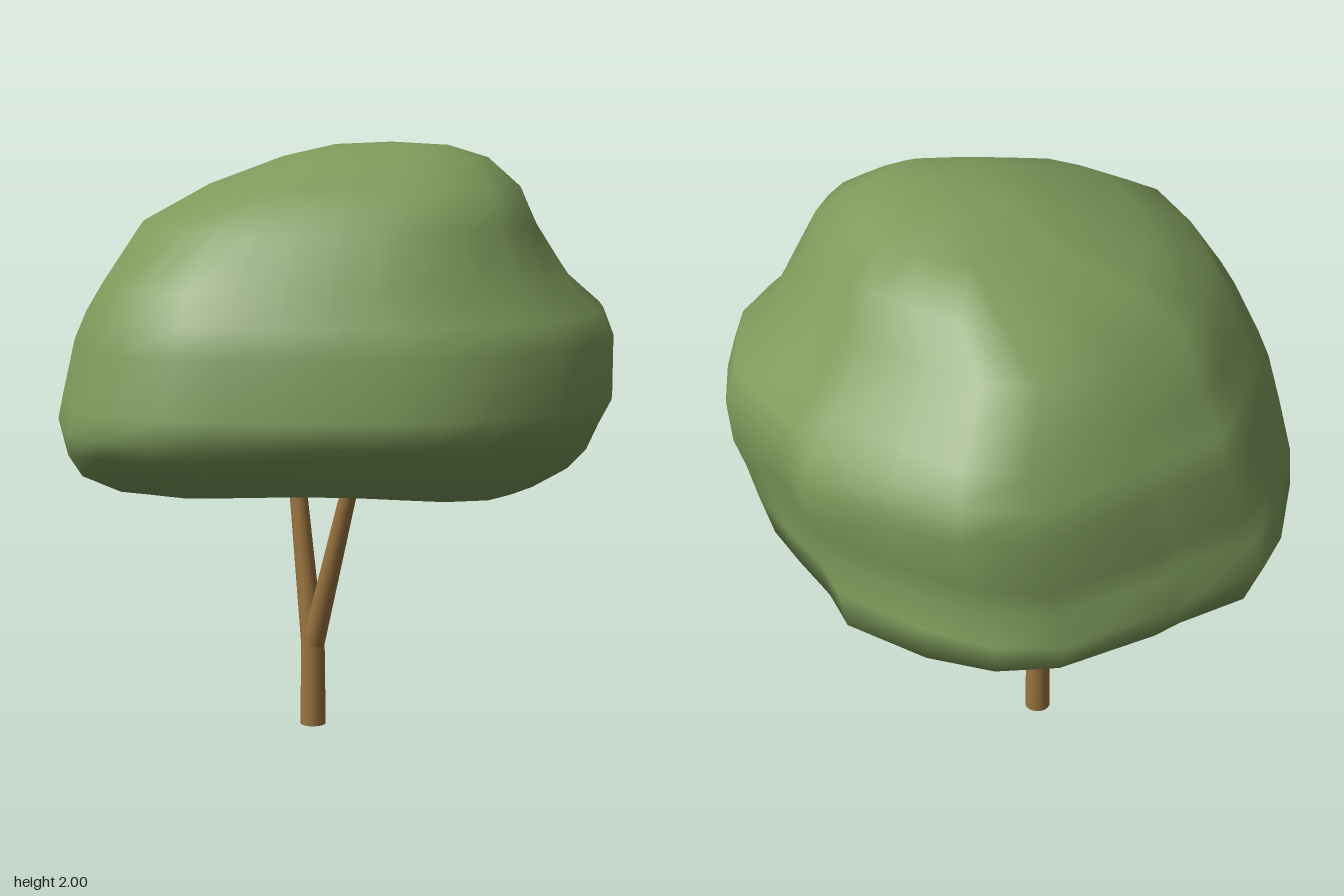
import * as THREE from 'three';
import { mergeVertices } from 'three/addons/utils/BufferGeometryUtils.js';

const leafGreen = new THREE.MeshStandardMaterial({ name: 'leafGreen', color: 0x7d9a5b });
const barkBrown = new THREE.MeshStandardMaterial({ name: 'barkBrown', color: 0x99733f });

// Plan outline of the crown (x, z), from the back round by the model's left
const outline = [
  [-0.2, -0.95], [0.13, -0.95], [0.28, -0.86], [0.48, -0.78], [0.66, -0.7], [0.8, -0.53],
  [0.9, -0.38], [0.94, -0.18], [0.96, 0], [0.9, 0.22], [0.82, 0.37], [0.71, 0.5],
  [0.58, 0.62], [0.45, 0.73], [0.3, 0.83], [0.15, 0.92], [-0.05, 0.95], [-0.22, 0.935],
  [-0.5, 0.73], [-0.73, 0.49], [-0.83, 0.35], [-0.94, 0.04], [-0.965, -0.15],
  [-0.85, -0.38], [-0.82, -0.48], [-0.64, -0.8], [-0.45, -0.91],
];

// Crown levels, from the underside up: y, x min, x max, z min, z max,
// then the extra fullness at back left, front left, front right, back right
const levels = [
  [0.92, -0.05, -0.05, -0.05, -0.05, 0, 0, 0, 0],
  [0.91, -0.5, 0.4, -0.5, 0.4, 0, 0, 0, 0],
  [0.885, -0.83, 0.65, -0.8, 0.68, 0, 0.08, 0.03, 0],
  [0.95, -0.945, 0.75, -0.95, 0.82, 0, 0.08, 0, -0.03],
  [1.03, -0.967, 0.86, -0.92, 0.91, 0, 0.05, -0.04, 0],
  [1.12, -0.93, 0.92, -0.91, 0.95, 0, 0.03, 0, 0],
  [1.2, -0.9, 0.965, -0.91, 0.935, 0, 0.01, 0.03, 0.02],
  [1.38, -0.845, 0.93, -0.95, 0.895, 0, 0, 0.05, 0.02],
  [1.47, -0.8, 0.91, -0.89, 0.86, 0, 0, 0.05, 0.04],
  [1.56, -0.72, 0.805, -0.83, 0.81, -0.02, 0, 0.05, 0.06],
  [1.74, -0.63, 0.74, -0.645, 0.67, -0.03, 0, 0.03, 0.06],
  [1.86, -0.44, 0.66, -0.57, 0.47, -0.04, 0, 0, 0.06],
  [1.95, -0.2, 0.53, -0.44, 0.24, -0.04, 0, 0, 0.04],
  [1.99, 0.02, 0.44, -0.22, 0.1, 0, 0, 0, 0],
  [2.0, 0.24, 0.24, -0.06, -0.06, 0, 0, 0, 0],
];

function crownGeometry() {
  const n = outline.length;
  const positions = [];
  const index = [];
  levels.forEach(([y, x0, x1, z0, z1, ...fullness], row) => {
    for (const [ox, oz] of outline) {
      const nx = ox / 0.963;
      const nz = oz / 0.95;
      const diagonal = 4 * nx * nx * nz * nz;
      const quadrant = nx > 0 ? (nz < 0 ? 0 : 1) : (nz > 0 ? 2 : 3);
      const swell = 1 + fullness[quadrant] * diagonal;
      // The rim dips at the back, lifts at the front left and sags at the front right
      const lift = [0.01, 0.05, -0.05, 0.01][quadrant] * diagonal;
      const tilt = row > 1 && row < 5 ? 0.025 * nz + lift : 0;
      positions.push(
        (x0 + x1) / 2 + (swell * nx * (x1 - x0)) / 2,
        y + tilt,
        (z0 + z1) / 2 + (swell * nz * (z1 - z0)) / 2,
      );
    }
  });
  for (let row = 0; row < levels.length - 1; row++) {
    for (let j = 0; j < n; j++) {
      const a = row * n + j;
      const b = row * n + ((j + 1) % n);
      if (row > 0) index.push(a, a + n, b);
      else index.push(a, a + n, b + n);
      if (row > 0 && row < levels.length - 2) index.push(b, a + n, b + n);
    }
  }
  const geometry = new THREE.BufferGeometry();
  geometry.setAttribute('position', new THREE.Float32BufferAttribute(positions, 3));
  geometry.setIndex(index);
  const merged = mergeVertices(geometry, 1e-4);
  merged.computeVertexNormals();
  return merged;
}

// Tapered round limb between two points
function limb(name, from, to, r0, r1) {
  const a = new THREE.Vector3(...from);
  const b = new THREE.Vector3(...to);
  const dir = b.clone().sub(a);
  const mesh = new THREE.Mesh(new THREE.CylinderGeometry(r1, r0, dir.length(), 16), barkBrown);
  mesh.name = name;
  mesh.position.copy(a).add(b).multiplyScalar(0.5);
  mesh.quaternion.setFromUnitVectors(new THREE.Vector3(0, 1, 0), dir.normalize());
  return mesh;
}

export function createModel() {
  const tree = new THREE.Group();
  tree.name = 'tree';

  const crown = new THREE.Mesh(crownGeometry(), leafGreen);
  crown.name = 'crown';
  tree.add(crown);

  // Trunk forking into two branches
  tree.add(limb('trunk', [-0.1, 0, -0.057], [-0.1, 0.32, -0.057], 0.044, 0.04));
  tree.add(limb('rightBranch', [-0.103, 0.29, -0.057], [-0.188, 0.95, -0.06], 0.039, 0.028));
  tree.add(limb('leftBranch', [-0.097, 0.29, -0.057], [0.107, 0.95, -0.045], 0.039, 0.026));

  return tree;
}
